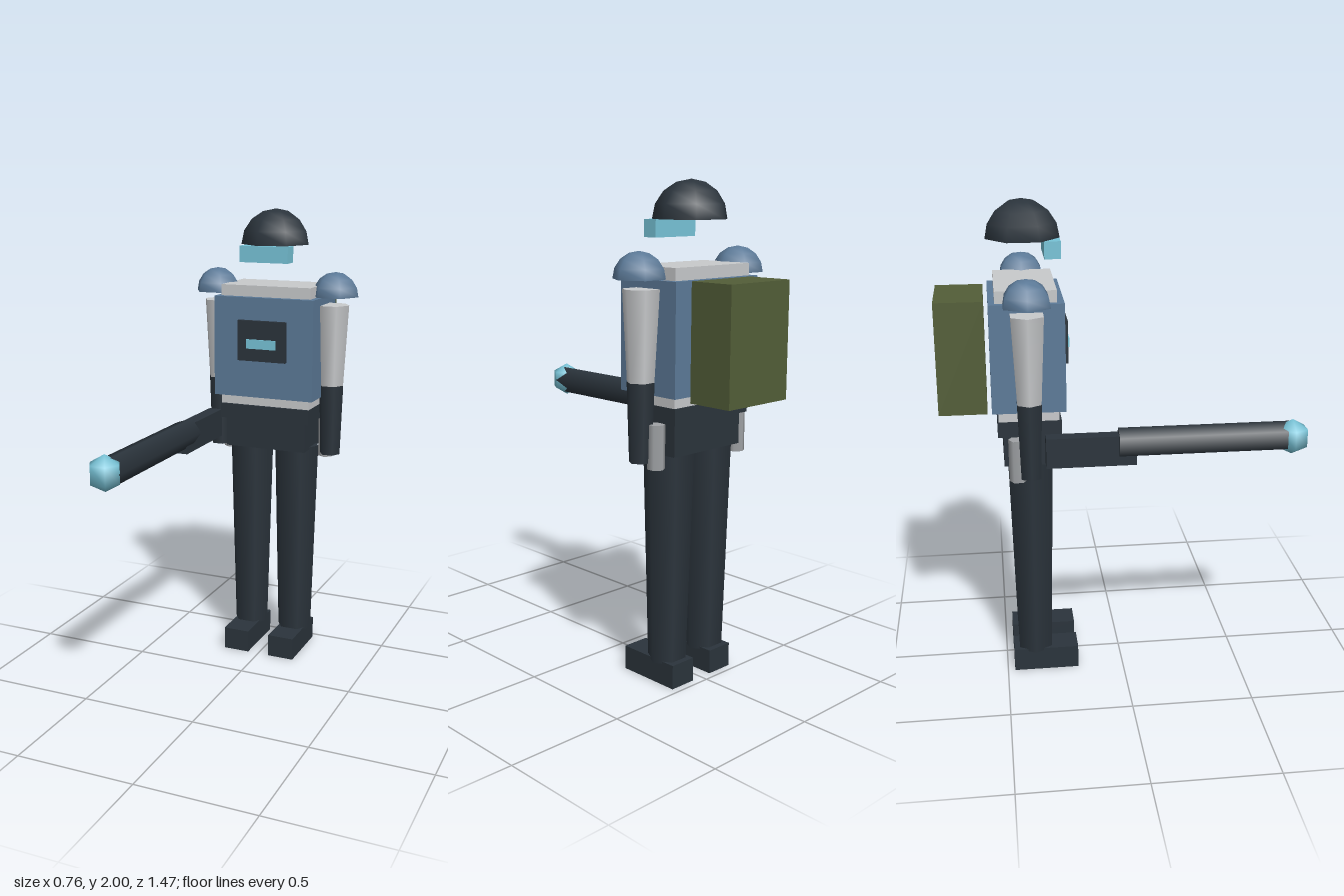
import * as THREE from 'three';

const mat = (name, color) => {
  const m = new THREE.MeshStandardMaterial({ color });
  m.name = name;
  return m;
};

export function createModel() {
  const dark = mat('charcoal', 0x2b343c);
  const blue = mat('steelBlue', 0x5c7a98);
  const light = mat('lightGrey', 0xc8cacc);
  const grey = mat('midGrey', 0xa0a3a6);
  const cyan = mat('cyan', 0x78c4d8);
  const olive = mat('olive', 0x535e38);

  const model = new THREE.Group();
  model.name = 'armouredTrooper';
  const Z = -0.38; // body centre line

  const add = (name, geometry, material, x, y, z, parent = model) => {
    const mesh = new THREE.Mesh(geometry, material);
    mesh.name = name;
    mesh.position.set(x, y, z);
    parent.add(mesh);
    return mesh;
  };
  // box from its limits: [x0, x1], [y0, y1], [z0, z1]
  const box = (name, material, [x0, x1], [y0, y1], [z0, z1]) =>
    add(name, new THREE.BoxGeometry(x1 - x0, y1 - y0, z1 - z0), material,
      (x0 + x1) / 2, (y0 + y1) / 2, (z0 + z1) / 2);
  // six-sided tapered limb with corners pointing sideways
  const limb = (name, material, rTop, rBottom, x, y0, y1, z = Z) =>
    add(name, new THREE.CylinderGeometry(rTop, rBottom, y1 - y0, 6).rotateY(Math.PI / 6),
      material, x, (y0 + y1) / 2, z);
  // closed half sphere, one corner pointing to +x
  const dome = (name, material, r, sides, x, y) => {
    const group = new THREE.Group();
    group.name = name;
    group.position.set(x, y, Z);
    model.add(group);
    add(name + 'Shell', new THREE.SphereGeometry(r, sides, 4, 0, Math.PI * 2, 0, Math.PI / 2)
      .rotateY(Math.PI), material, 0, 0, 0, group);
    add(name + 'Base', new THREE.CircleGeometry(r, sides).rotateX(Math.PI / 2),
      material, 0, 0, 0, group);
  };

  // head
  dome('helmet', dark, 0.15, 7, 0, 1.85);
  box('visor', cyan, [-0.11, 0.11], [1.78, 1.849], [-0.3, -0.235]);

  // torso
  box('torso', light, [-0.205, 0.205], [1.15, 1.68], [-0.5, -0.26]);
  box('vest', blue, [-0.228, 0.228], [1.197, 1.632], [-0.525, -0.232]);
  box('chestPanel', dark, [-0.11, 0.11], [1.36, 1.535], [-0.235, -0.213]);
  box('chestScreen', cyan, [-0.067, 0.067], [1.415, 1.455], [-0.213, -0.205]);
  box('backpack', olive, [-0.163, 0.163], [1.177, 1.632], [-0.735, -0.542]);
  box('belt', dark, [-0.206, 0.206], [1.09, 1.155], [-0.505, -0.25]);
  box('pelvis', dark, [-0.185, 0.185], [0.96, 1.095], [-0.483, -0.267]);

  // paired parts
  for (const [side, s] of [['left', 1], ['right', -1]]) {
    dome(side + 'ShoulderPad', blue, 0.103, 6, s * 0.275, 1.637);
    limb(side + 'UpperArm', light, 0.073, 0.054, s * 0.265, 1.25, 1.6);
    limb(side + 'Forearm', dark, 0.055, 0.045, s * 0.265, 0.94, 1.25);
    limb(side + 'Leg', dark, 0.103, 0.079, s * 0.108, 0.09, 0.97, -0.377);
    const foot = box(side + 'Foot', dark, [0.05, 0.168], [0, 0.1], [-0.47, -0.195]);
    foot.position.x *= s;
    add(side + 'Canister', new THREE.CylinderGeometry(0.036, 0.036, 0.175, 6),
      grey, s * 0.23, 1.003, -0.43);
  }

  // weapon held by the right hand
  box('weaponBody', dark, [-0.295, -0.235], [0.985, 1.108], [-0.32, 0.04]);
  const barrel = new THREE.CylinderGeometry(0.0625, 0.0625, 0.71, 5)
    .rotateY(Math.PI / 2).rotateX(Math.PI / 2);
  add('weaponBarrel', barrel, dark, -0.2625, 1.0675, 0.325);
  add('weaponTip', new THREE.SphereGeometry(0.074, 6, 3), cyan, -0.265, 1.067, 0.677);

  return model;
}
